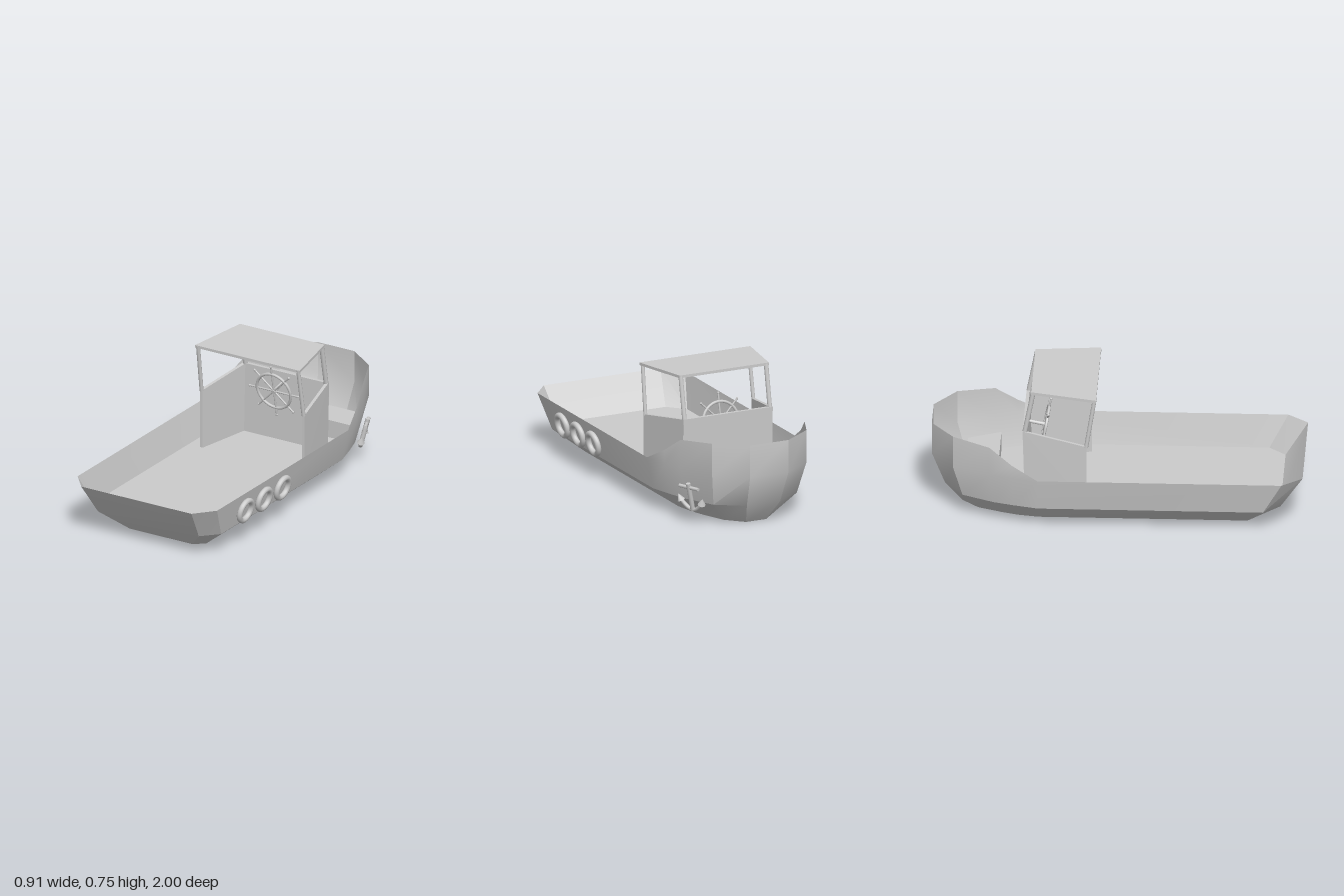
import * as THREE from 'three';
import { toCreasedNormals } from 'three/addons/utils/BufferGeometryUtils.js';
import { ConvexGeometry } from 'three/addons/geometries/ConvexGeometry.js';

const grey = new THREE.MeshStandardMaterial({ color: 0xcccccc });
const greyThin = new THREE.MeshStandardMaterial({ color: 0xcccccc, side: THREE.DoubleSide });
const V = (x, y, z) => new THREE.Vector3(x, y, z);

function add(parent, name, geometry, material = grey) {
  const mesh = new THREE.Mesh(geometry, material);
  mesh.name = name;
  parent.add(mesh);
  return mesh;
}

// Round bar between two points
function bar(parent, name, a, b, r, sides = 8) {
  const dir = b.clone().sub(a);
  const mesh = add(parent, name, new THREE.CylinderGeometry(r, r, dir.length(), sides));
  mesh.position.copy(a).add(b).multiplyScalar(0.5);
  mesh.quaternion.setFromUnitVectors(V(0, 1, 0), dir.normalize());
  return mesh;
}

// Flat panel given by its corners and a thickness vector
function panel(parent, name, corners, t) {
  return add(parent, name, new ConvexGeometry([...corners, ...corners.map((c) => c.clone().add(t))]));
}

// Closed outline from a half outline [x, y, z] running stern to bow
function outline(half) {
  const left = half.map((p) => V(...p));
  return [...left, ...left.map((p) => V(-p.x, p.y, p.z)).reverse()];
}

// Hull levels: bottom, chine, gunwale, raised bow rail
const level = (y, pts) => outline(pts.map(([x, z, h]) => [x, h ?? y, z]));
const bottom = level(0, [[0.2, 0.75], [0.255, 0.7], [0.255, -0.42], [0.235, -0.53], [0.205, -0.62], [0.15, -0.75], [0.06, -0.84]]);
const chine = level(0.12, [[0.32, 0.88], [0.405, 0.79], [0.405, -0.42], [0.37, -0.55], [0.335, -0.66], [0.25, -0.83], [0.1, -0.93]]);
const gunwale = level(0.3, [[0.35, 1], [0.443, 0.89], [0.443, -0.42], [0.41, -0.56], [0.372, -0.68], [0.283, -0.88], [0.115, -1]]);
const rail = level(0.3, [[0.35, 1], [0.443, 0.89], [0.443, -0.42], [0.41, -0.56, 0.375], [0.372, -0.68, 0.46],
  [0.283, -0.88, 0.48], [0.115, -1, 0.48]]);

function hullGeometry() {
  const pos = [];
  const tri = (...ps) => ps.forEach((p) => pos.push(p.x, p.y, p.z));
  const rings = [bottom, chine, gunwale, rail];
  const n = bottom.length;
  for (let k = 0; k < 3; k++) {
    for (let i = 0; i < n; i++) {
      const j = (i + 1) % n;
      const [a, b, c, d] = [rings[k][i], rings[k][j], rings[k + 1][j], rings[k + 1][i]];
      if (b.distanceTo(c) > 1e-4) tri(a, b, c);
      if (a.distanceTo(d) > 1e-4) tri(a, c, d);
    }
  }
  for (let i = 1; i < n - 1; i++) tri(bottom[0], bottom[i + 1], bottom[i]);
  const g = new THREE.BufferGeometry();
  g.setAttribute('position', new THREE.Float32BufferAttribute(pos, 3));
  g.computeVertexNormals();
  return toCreasedNormals(g, 0.45);
}

function floorGeometry() {
  const shape = new THREE.Shape(chine.map((p) => new THREE.Vector2(p.x, -p.z)));
  return new THREE.ShapeGeometry(shape).rotateX(-Math.PI / 2).translate(0, 0.12, 0);
}

function buildCabin(parent) {
  const cabin = new THREE.Group();
  cabin.name = 'cabin';
  parent.add(cabin);
  for (const s of [-1, 1]) {
    const wall = [V(s * 0.333, 0.12, -0.16), V(s * 0.333, 0.455, -0.16), V(s * 0.268, 0.51, -0.505), V(s * 0.268, 0.12, -0.495)];
    panel(cabin, 'sideWall', wall, V(-s * 0.018, 0, 0));
    bar(cabin, 'rearPost', V(s * 0.324, 0.45, -0.163), V(s * 0.318, 0.73, -0.118), 0.011);
    bar(cabin, 'frontPost', V(s * 0.256, 0.505, -0.495), V(s * 0.256, 0.738, -0.45), 0.013);
  }
  const front = [V(-0.268, 0.12, -0.495), V(0.268, 0.12, -0.495), V(0.268, 0.51, -0.507), V(-0.268, 0.51, -0.507)];
  panel(cabin, 'frontWall', front, V(0, 0, 0.018));
  const roof = [V(-0.332, 0.717, -0.11), V(0.332, 0.717, -0.11), V(0.268, 0.73, -0.46), V(-0.268, 0.73, -0.46)];
  panel(cabin, 'roof', roof, V(0, 0.015, 0));
}

function buildWheel(parent) {
  const wheel = new THREE.Group();
  wheel.name = 'steeringWheel';
  wheel.position.set(-0.012, 0.435, -0.395);
  wheel.rotation.x = 0.2;
  parent.add(wheel);
  add(wheel, 'rim', new THREE.TorusGeometry(0.106, 0.008, 8, 32));
  for (let i = 0; i < 8; i++) {
    const a = (i * Math.PI) / 4;
    const tip = V(Math.cos(a) * 0.153, Math.sin(a) * 0.153, 0);
    bar(wheel, 'spoke', V(0, 0, 0), tip, 0.005, 6);
    add(wheel, 'knob', new THREE.SphereGeometry(0.007, 8, 6)).position.copy(tip);
  }
  bar(wheel, 'shaft', V(0, 0, 0.01), V(0, 0, -0.1), 0.01);
}

function buildAnchor(parent) {
  const anchor = new THREE.Group();
  anchor.name = 'anchor';
  anchor.position.set(0.342, 0.15, -0.74);
  anchor.rotation.set(0.25, Math.PI / 2 + 0.42, 0, 'YXZ');
  parent.add(anchor);
  bar(anchor, 'shank', V(0, -0.08, 0), V(0, 0.085, 0), 0.013);
  bar(anchor, 'stock', V(-0.065, 0.06, 0), V(0.065, 0.06, 0), 0.01);
  const arc = new THREE.QuadraticBezierCurve3(V(-0.075, -0.02, 0), V(0, -0.13, 0), V(0.075, -0.02, 0));
  add(anchor, 'arms', new THREE.TubeGeometry(arc, 16, 0.011, 8));
  for (const s of [-1, 1]) {
    const fluke = add(anchor, 'fluke', new THREE.ConeGeometry(0.022, 0.04, 8));
    fluke.position.set(s * 0.077, -0.012, 0);
    fluke.rotation.z = -s * 0.35;
  }
}

export function createModel() {
  const root = new THREE.Group();
  root.name = 'boat';
  const body = new THREE.Group();
  body.name = 'boatBody';
  body.position.x = -0.012;
  root.add(body);

  add(body, 'hull', hullGeometry(), greyThin);
  add(body, 'floor', floorGeometry(), greyThin);

  // Low step in the bow
  const step = [V(-0.33, 0.12, -0.645), V(0.33, 0.12, -0.645), V(0.25, 0.12, -0.82), V(-0.25, 0.12, -0.82)];
  panel(body, 'bowStep', step, V(0, 0.1, 0));

  buildCabin(body);
  buildWheel(body);
  buildAnchor(body);

  // Ring fenders along one side
  for (const z of [0.6, 0.415, 0.23]) {
    const ring = add(body, 'fender', new THREE.TorusGeometry(0.058, 0.016, 10, 24));
    ring.position.set(0.44, 0.197, z);
    ring.rotation.set(0.2, Math.PI / 2, 0, 'YXZ');
  }
  return root;
}
